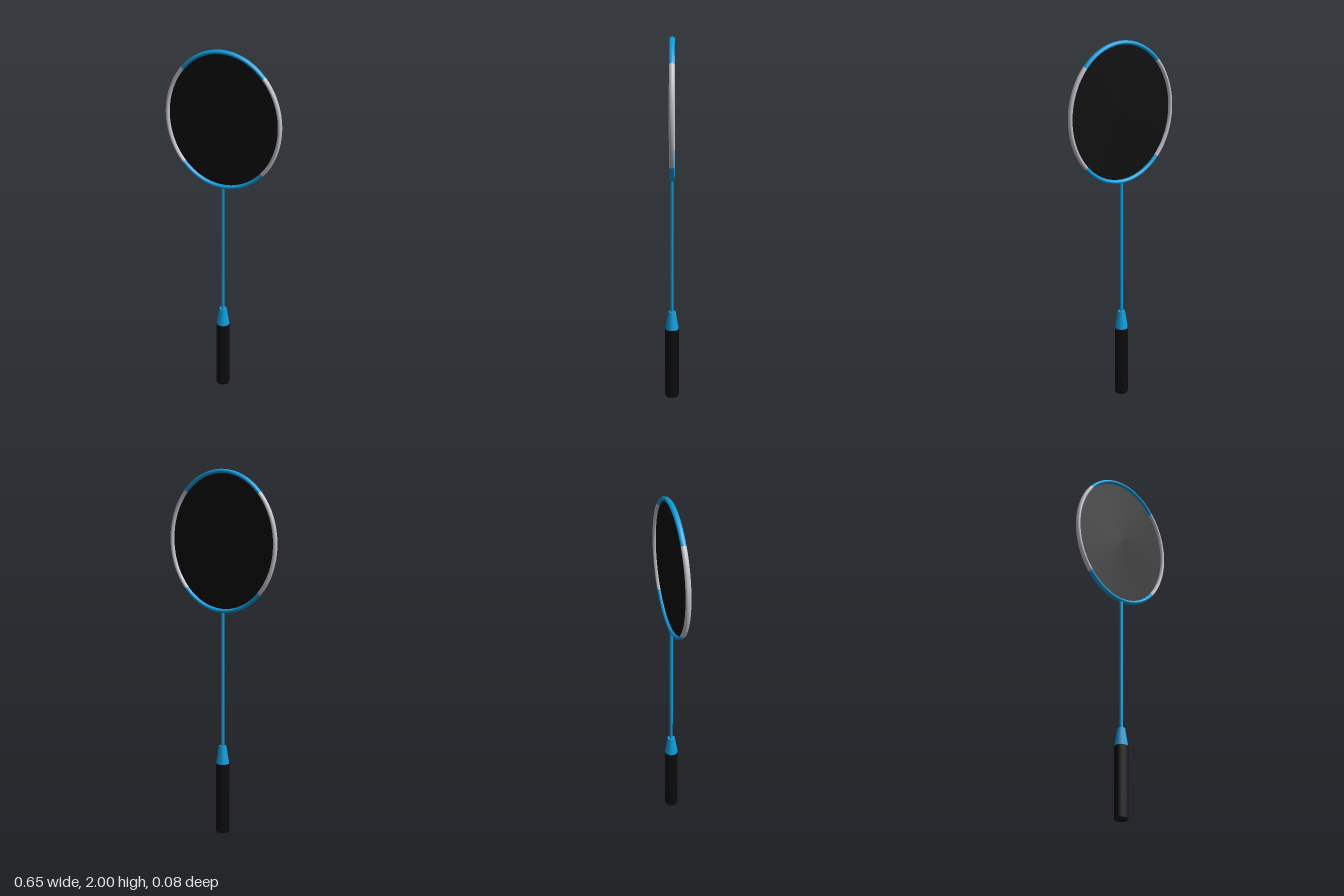
import * as THREE from 'three';
import { mergeVertices } from 'three/addons/utils/BufferGeometryUtils.js';

const CENTRE_Y = 1.617;
const HALF_W = 0.316, HALF_H = 0.372; // centreline of the head frame

// Arc of the oval frame with an elliptical tube section
function frameArc(start, sweep) {
  let g = new THREE.TorusGeometry(1, 0.1, 14, 32, sweep);
  g.rotateZ(start);
  const p = g.attributes.position;
  for (let i = 0; i < p.count; i++) {
    const rho = Math.hypot(p.getX(i), p.getY(i));
    const c = p.getX(i) / rho, s = p.getY(i) / rho;
    const d = (rho - 1) / 0.1 * 0.011;
    p.setXYZ(i, c * (HALF_W + d), s * (HALF_H + d), p.getZ(i) / 0.1 * 0.015);
  }
  g.deleteAttribute('uv');
  g.deleteAttribute('normal');
  g = mergeVertices(g, 1e-5);
  g.computeVertexNormals();
  return g;
}

export function createModel() {
  const group = new THREE.Group();
  const material = (name, color, side = THREE.FrontSide) =>
    Object.assign(new THREE.MeshStandardMaterial({ color, side }), { name });
  const blue = material('blue', 0x0d9cdc);
  const silver = material('silver', 0xc0bec8);
  const black = material('black', 0x0c0c0c, THREE.DoubleSide);

  const add = (name, geometry, mat, y) => {
    const mesh = new THREE.Mesh(geometry, mat);
    mesh.name = name;
    mesh.position.y = y;
    group.add(mesh);
    return mesh;
  };

  // Head frame: four arcs in alternating colours
  const names = ['frameLeft', 'frameTop', 'frameRight', 'frameBottom'];
  names.forEach((name, i) =>
    add(name, frameArc(-Math.PI / 4 + i * Math.PI / 2, Math.PI / 2), i % 2 ? blue : silver, CENTRE_Y));

  // String bed
  const strings = add('stringBed', new THREE.CircleGeometry(1, 96), black, CENTRE_Y);
  strings.scale.set(HALF_W - 0.006, HALF_H - 0.006, 1);

  // Shaft, cone and grip
  add('shaft', new THREE.CylinderGeometry(0.009, 0.009, 0.77, 10), blue, 0.865);
  add('cone', new THREE.CylinderGeometry(0.021, 0.037, 0.1, 10), blue, 0.445);
  add('grip', new THREE.CylinderGeometry(0.038, 0.038, 0.387, 10), black, 0.2015);
  add('gripEnd', new THREE.CylinderGeometry(0.038, 0.034, 0.008, 10), black, 0.004);

  return group;
}
